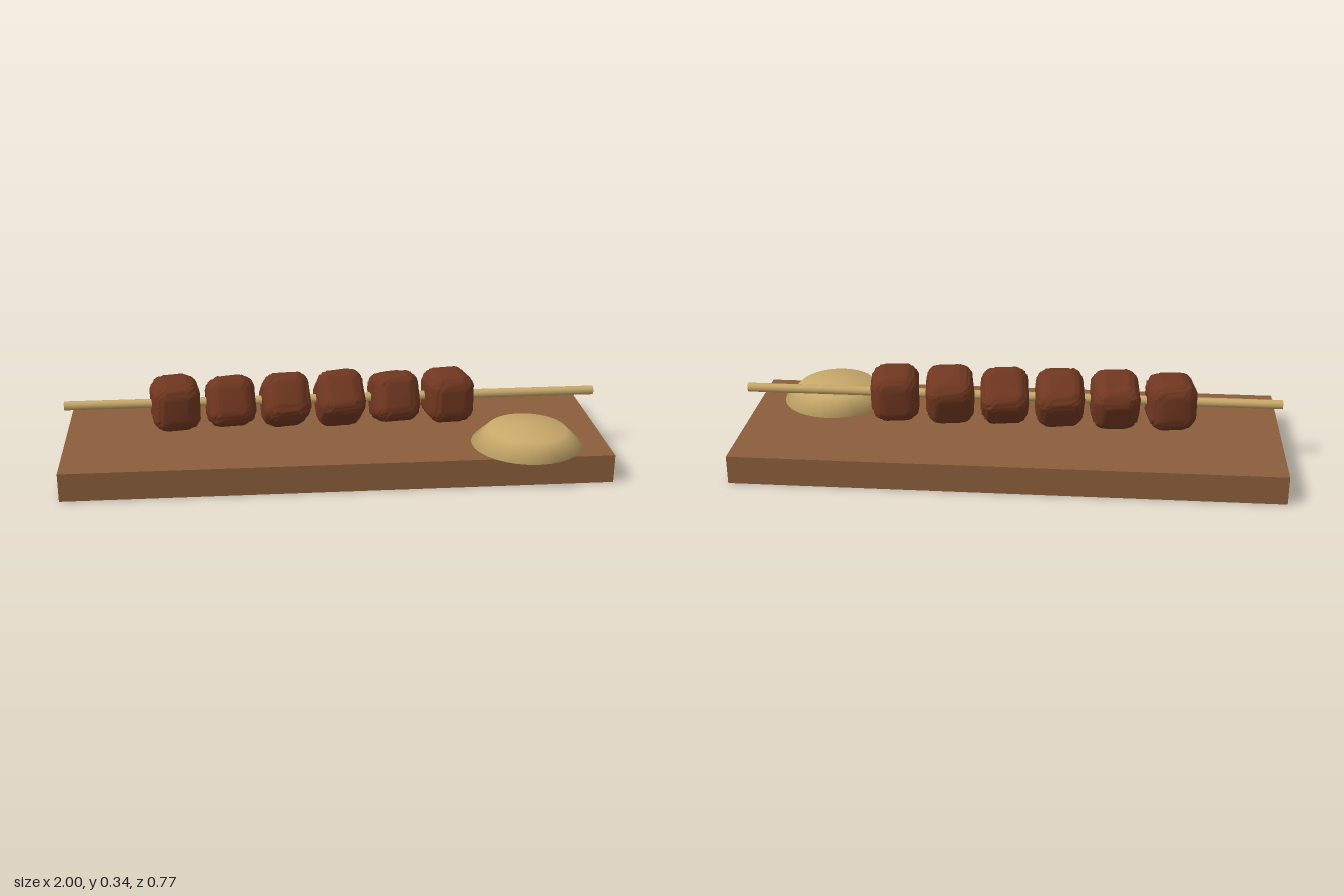
import * as THREE from 'three';
import { RoundedBoxGeometry } from 'three/addons/geometries/RoundedBoxGeometry.js';
import { mergeVertices } from 'three/addons/utils/BufferGeometryUtils.js';

const boardWood = new THREE.MeshStandardMaterial({ color: 0x8b5e3c });
boardWood.name = 'board wood';
const grilledMeat = new THREE.MeshStandardMaterial({ color: 0x703720 });
grilledMeat.name = 'grilled meat';
const paleTan = new THREE.MeshStandardMaterial({ color: 0xc8a96a, side: THREE.DoubleSide });
paleTan.name = 'pale tan';

// Small seeded generator for the rough meat surface
function seeded(seed) {
  let s = seed;
  return () => {
    s = (s * 16807) % 2147483647;
    return s / 2147483647;
  };
}

// Rounded chunk with a rough, charred crust
function meatGeometry(seed) {
  const rough = new RoundedBoxGeometry(0.175, 0.185, 0.185, 5, 0.055);
  rough.deleteAttribute('normal');
  rough.deleteAttribute('uv');
  const geometry = mergeVertices(rough, 1e-4);
  const random = seeded(seed);
  const position = geometry.attributes.position;
  const v = new THREE.Vector3();
  for (let i = 0; i < position.count; i++) {
    v.fromBufferAttribute(position, i).multiplyScalar(0.98 + random() * 0.06);
    position.setXYZ(i, v.x, v.y, v.z);
  }
  geometry.computeVertexNormals();
  return geometry;
}

export function createModel() {
  const model = new THREE.Group();
  model.name = 'skewerOnBoard';

  function add(name, geometry, material, x, y, z) {
    const mesh = new THREE.Mesh(geometry, material);
    mesh.name = name;
    mesh.position.set(x, y, z);
    model.add(mesh);
    return mesh;
  }

  // Serving board
  add('board', new THREE.BoxGeometry(2, 0.106, 0.705), boardWood, 0, 0.053, -0.03);

  // Stick running the length of the board
  const stick = add('stick', new THREE.CylinderGeometry(0.017, 0.017, 2, 12), paleTan, 0, 0.226, -0.03);
  stick.rotation.z = Math.PI / 2;

  // Meat chunks, each rolled around the stick by a different amount
  [0, -0.4, -0.6, -0.75, -0.35, -0.03].forEach((roll, i) => {
    const chunk = add('meatChunk' + (i + 1), meatGeometry(101 + i * 977), grilledMeat,
      -0.59 + i * 0.2055, 0.226, -0.03);
    chunk.rotation.order = 'YXZ';
    chunk.rotation.set(roll, 0.14, 0);
  });

  // Low mound of sauce near the front corner
  const dome = new THREE.SphereGeometry(0.205, 32, 2, 0, Math.PI * 2, 0, Math.PI / 2);
  dome.scale(1, 0.4, 1);
  add('sauceMound', dome, paleTan, 0.705, 0.106, 0.178);

  return model;
}
